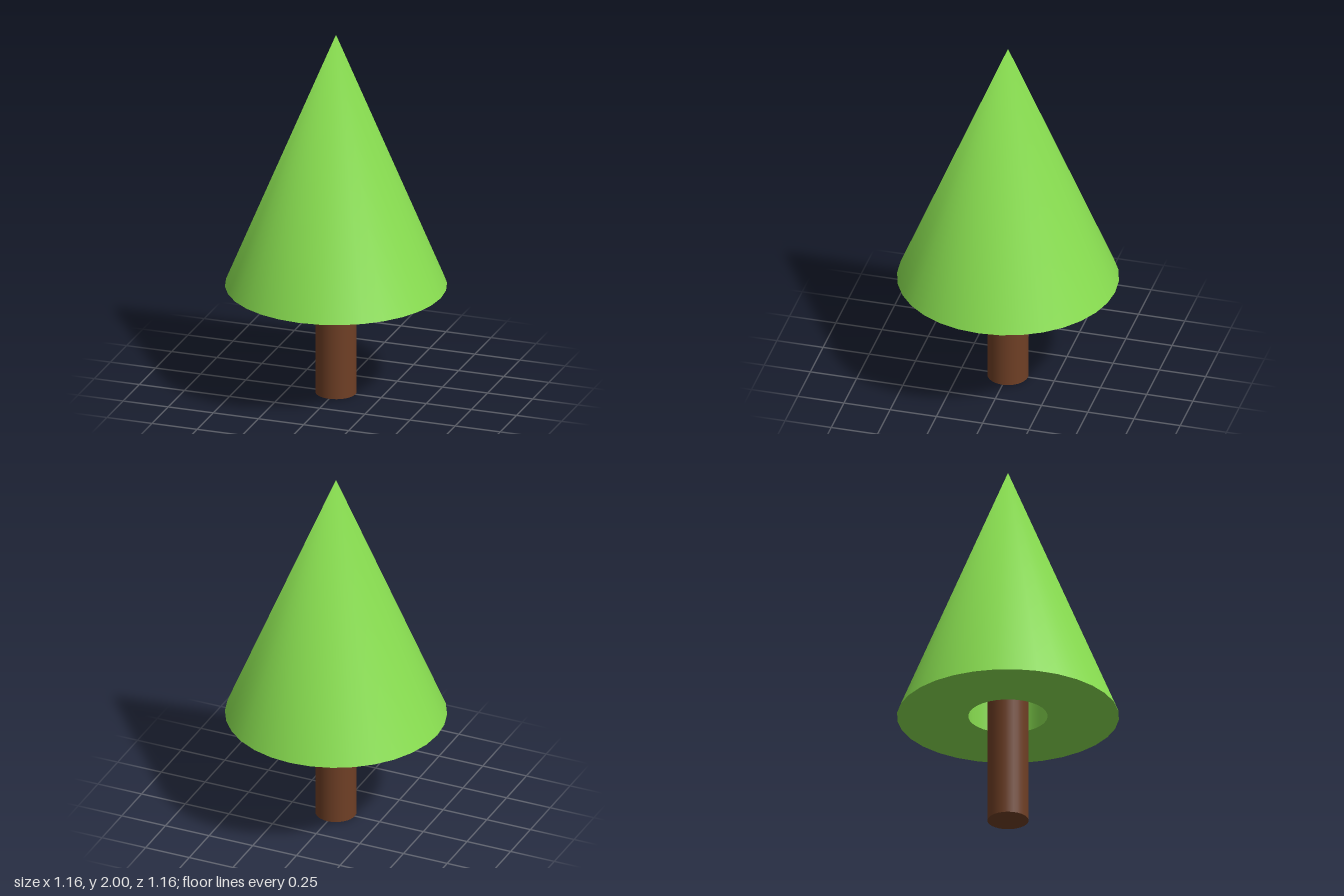
import * as THREE from 'three';
import { mergeGeometries } from 'three/addons/utils/BufferGeometryUtils.js';

const SIDES = 32;
const BASE = 0.6, TIP = 2, SOCKET_TOP = 0.9;
const CROWN_R = 0.58, SOCKET_R = 0.207, TRUNK_R = 0.108;

// Revolve each profile segment separately so the rims stay sharp
function revolve(profile) {
  const bands = [];
  for (let i = 0; i + 1 < profile.length; i++) {
    const pair = [profile[i], profile[i + 1]].map(([r, y]) => new THREE.Vector2(r, y));
    bands.push(new THREE.LatheGeometry(pair, SIDES));
  }
  return mergeGeometries(bands);
}

export function createModel() {
  const tree = new THREE.Group();
  tree.name = 'tree';

  // Crown: cone with a flat underside and a round socket around the trunk
  const crownGeometry = revolve([
    [0, SOCKET_TOP], [SOCKET_R, SOCKET_TOP], [SOCKET_R, BASE], [CROWN_R, BASE], [0, TIP],
  ]);
  // Smooth shading across the tip: its normals point straight up
  const { position, normal } = crownGeometry.attributes;
  for (let i = 0; i < position.count; i++) {
    if (position.getY(i) > TIP - 0.001) normal.setXYZ(i, 0, 1, 0);
  }
  const crown = new THREE.Mesh(
    crownGeometry,
    new THREE.MeshStandardMaterial({ color: 0x88dd50, side: THREE.DoubleSide }),
  );
  crown.name = 'crown';

  // Trunk: runs up into the socket
  const trunk = new THREE.Mesh(
    new THREE.CylinderGeometry(TRUNK_R, TRUNK_R, SOCKET_TOP, SIDES),
    new THREE.MeshStandardMaterial({ color: 0x6f3f25 }),
  );
  trunk.name = 'trunk';
  trunk.position.y = SOCKET_TOP / 2;

  tree.add(crown, trunk);
  return tree;
}
